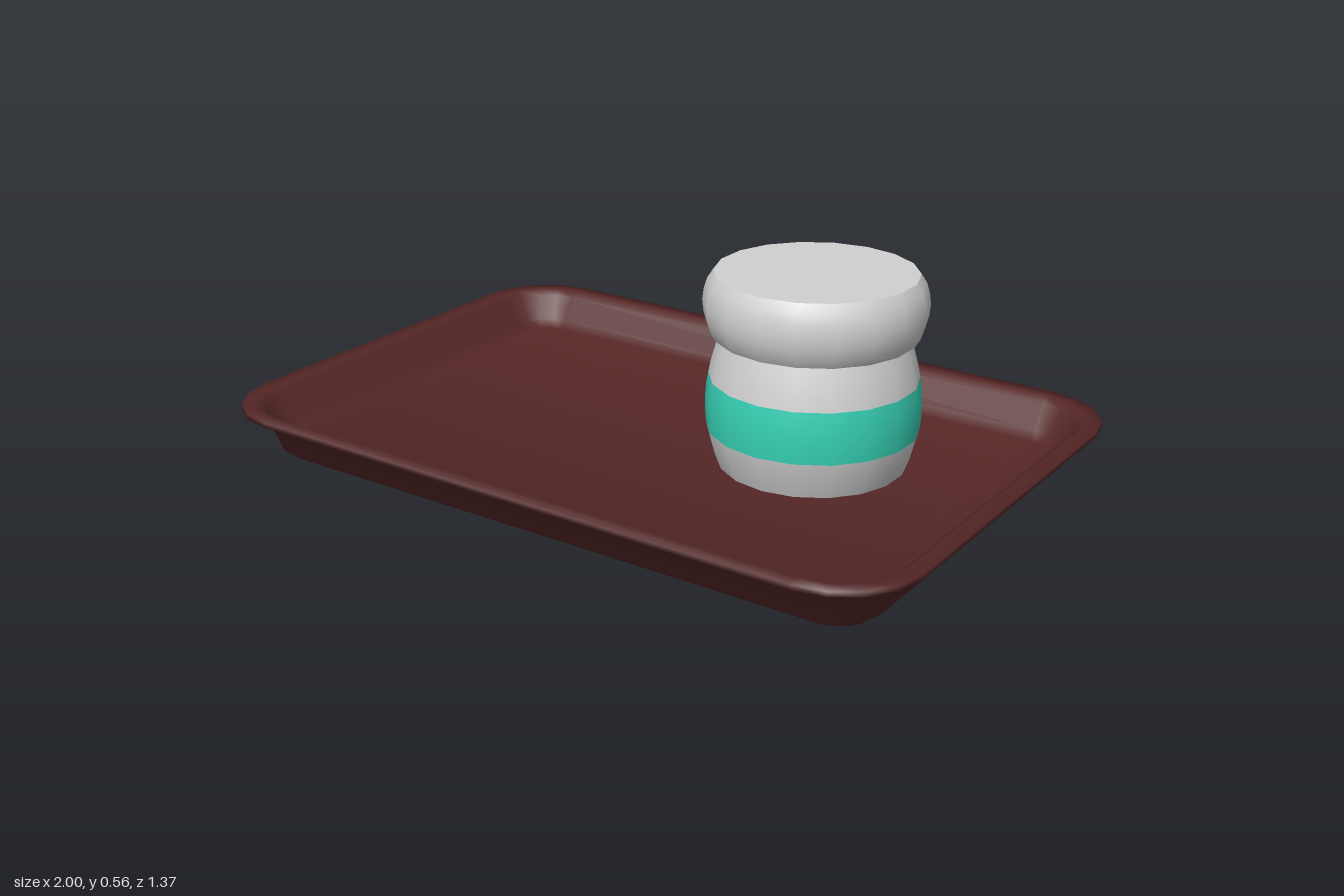
import * as THREE from 'three';

const mat = (name, color, side = THREE.FrontSide) => {
  const m = new THREE.MeshStandardMaterial({ color, side });
  m.name = name;
  return m;
};

// Rounded-rectangle loop: 5 points per corner, given as corner centre plus direction
function cornerLoop() {
  const loop = [];
  for (let q = 0; q < 4; q++) {
    const sx = q === 0 || q === 3 ? 1 : -1, sz = q < 2 ? 1 : -1;
    for (let s = 0; s <= 4; s++) {
      const a = (q + s / 4) * Math.PI / 2;
      loop.push({ cx: sx * 0.79, cz: sz * 0.475, dx: Math.cos(a), dz: Math.sin(a) });
    }
  }
  return loop;
}

// Tray skin: loops from the underside, over the rim, down to the inner floor
function trayGeometry() {
  const loop = cornerLoop(), n = loop.length;
  const profile = [ // radius of corner, height
    [0.09, 0], [0.115, 0.02], [0.16, 0.13], [0.21, 0.131], [0.21, 0.145],
    [0.172, 0.145], [0.15, 0.13], [0.11, 0.065], [0.08, 0.045],
  ];
  const last = profile.length - 1;
  const segNormal = (a, b) => new THREE.Vector2(b[1] - a[1], a[0] - b[0]).normalize();
  const pos = [], nor = [], idx = [];
  profile.forEach(([r, y], k) => {
    const before = k ? segNormal(profile[k - 1], profile[k]) : new THREE.Vector2(0, -1);
    const after = k < last ? segNormal(profile[k], profile[k + 1]) : new THREE.Vector2(0, 1);
    const m = before.add(after).normalize();
    for (const p of loop) {
      pos.push(p.cx + p.dx * r, y, p.cz + p.dz * r);
      nor.push(p.dx * m.x, m.y, p.dz * m.x);
    }
  });
  for (let k = 0; k < last; k++) {
    for (let i = 0; i < n; i++) {
      const j = (i + 1) % n, a = k * n + i, b = a + n, c = (k + 1) * n + j, d = k * n + j;
      idx.push(a, b, c, a, c, d);
    }
  }
  // Underside and floor, joined front to back in strips
  const f = last * n;
  for (let i = 0; i < n / 2 - 1; i++) {
    const a = i, b = i + 1, c = n - 2 - i, d = n - 1 - i;
    idx.push(a, b, c, a, c, d);
    idx.push(f + a, f + c, f + b, f + a, f + d, f + c);
  }
  const g = new THREE.BufferGeometry();
  g.setAttribute('position', new THREE.Float32BufferAttribute(pos, 3));
  g.setAttribute('normal', new THREE.Float32BufferAttribute(nor, 3));
  g.setIndex(idx);
  return g;
}

const SIDES = 18;

export function createModel() {
  const trayMat = mat('dark maroon', 0x552626);
  const grey = mat('light grey', 0xd0d0d0);
  const teal = mat('teal', 0x37d1b5);
  const model = new THREE.Group();
  model.name = 'trayWithJar';

  const add = (parent, name, geometry, material) => {
    const mesh = new THREE.Mesh(geometry, material);
    mesh.name = name;
    parent.add(mesh);
    return mesh;
  };
  add(model, 'tray', trayGeometry(), trayMat);

  const jar = new THREE.Group();
  jar.name = 'jar';
  jar.position.set(0.375, 0, -0.118);
  model.add(jar);

  const turned = (name, points, material) => add(jar, name,
    new THREE.LatheGeometry(points.map(([r, y]) => new THREE.Vector2(r, y)), SIDES), material);
  const disc = (name, r, y, up) => {
    const g = new THREE.CircleGeometry(r, SIDES);
    g.rotateX(up ? -Math.PI / 2 : Math.PI / 2);
    // line the disc corners up with the turned walls
    g.rotateY(Math.PI / 2);
    add(jar, name, g, grey).position.y = y;
  };

  // Bulging body with a coloured band
  turned('bodyBase', [[0.245, 0.045], [0.262, 0.09], [0.272, 0.13], [0.275, 0.145]], grey);
  turned('bodyBand', [[0.275, 0.145], [0.277, 0.17], [0.278, 0.21], [0.275, 0.25], [0.27, 0.28]], teal);
  turned('bodyShoulder', [[0.27, 0.28], [0.263, 0.315], [0.252, 0.355], [0.24, 0.392]], grey);
  disc('bodyBottom', 0.245, 0.045, false);

  // Rounded lid with flat top
  turned('lidSide', [[0.262, 0.392], [0.276, 0.415], [0.284, 0.445], [0.287, 0.475],
    [0.283, 0.505], [0.275, 0.532], [0.26, 0.555]], grey);
  disc('lidTop', 0.26, 0.555, true);
  disc('lidUnderside', 0.262, 0.392, false);

  return model;
}
